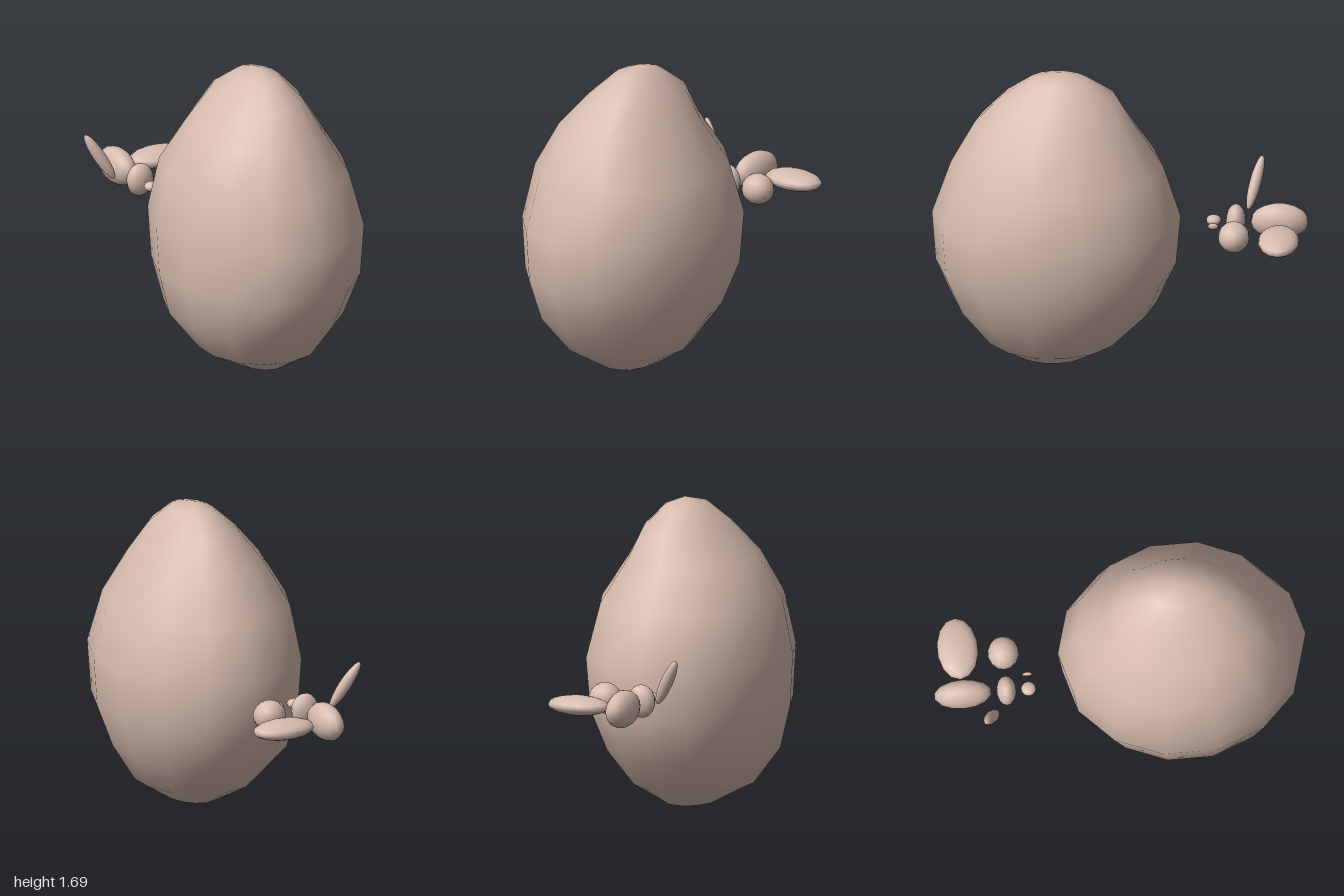
import * as THREE from 'three';

const clay = new THREE.MeshStandardMaterial({ color: 0xd6bbae });
clay.name = 'pinkish clay';

// Egg body: oval rings from bottom to top, closed by a pole at each end
function bodyGeometry() {
  const sides = 14;
  // [y, xMin, xMax, zMin, zMax]
  const rings = [
    [0.035, -0.13, 0.14, 0.18, 0.54],
    [0.14, -0.33, 0.31, 0.0, 0.72],
    [0.34, -0.48, 0.435, -0.2, 0.885],
    [0.57, -0.53, 0.52, -0.3, 0.98],
    [0.85, -0.545, 0.54, -0.325, 1.0],
    [1.14, -0.495, 0.47, -0.23, 0.9],
    [1.37, -0.36, 0.325, -0.08, 0.775],
    [1.54, -0.21, 0.23, 0.01, 0.63],
    [1.65, -0.09, 0.125, 0.17, 0.48],
  ];
  const pos = [], index = [];
  for (const [y, x0, x1, z0, z1] of rings) {
    for (let i = 0; i < sides; i++) {
      const a = (i / sides) * Math.PI * 2;
      pos.push((x0 + x1) / 2 + Math.sin(a) * (x1 - x0) / 2, y,
        (z0 + z1) / 2 + Math.cos(a) * (z1 - z0) / 2);
    }
  }
  const bottom = pos.length / 3, top = bottom + 1;
  pos.push(0.05, 0, 0.41, 0.02, 1.69, 0.31);
  const last = (rings.length - 1) * sides;
  for (let i = 0; i < sides; i++) {
    const j = (i + 1) % sides;
    index.push(bottom, j, i, top, last + i, last + j);
    for (let r = 0; r < last; r += sides) {
      index.push(r + i, r + j, r + sides + j, r + i, r + sides + j, r + sides + i);
    }
  }
  const g = new THREE.BufferGeometry();
  g.setAttribute('position', new THREE.Float32BufferAttribute(pos, 3));
  g.setIndex(index);
  g.computeVertexNormals();
  return g;
}

export function createModel() {
  const model = new THREE.Group();
  model.name = 'eggWithSmallCluster';

  const body = new THREE.Mesh(bodyGeometry(), clay);
  body.name = 'eggBody';
  model.add(body);

  // Small floating ellipsoids behind the egg
  const unit = new THREE.SphereGeometry(1, 14, 10);
  const blob = (name, center, radii) => {
    const m = new THREE.Mesh(unit, clay);
    m.name = name;
    m.position.set(...center);
    m.scale.set(...radii);
    model.add(m);
    return m;
  };
  blob('rearLobe', [-0.153, 0.76, -0.845], [0.075, 0.1, 0.155]);
  blob('sideLobe', [0.105, 0.76, -0.85], [0.175, 0.052, 0.11]);
  blob('ball', [0.06, 0.76, -0.61], [0.09, 0.083, 0.084]);
  blob('neckLobe', [-0.153, 0.76, -0.612], [0.078, 0.09, 0.053]);
  blob('smallBead', [-0.153, 0.76, -0.494], [0.04, 0.027, 0.04]);
  blob('tinyBead', [-0.07, 0.76, -0.494], [0.01, 0.018, 0.028]);

  // Slender leaning lobe
  const lean = blob('leaningLobe', [-0.345, 0.895, -0.708], [0.034, 0.15, 0.032]);
  lean.quaternion.setFromUnitVectors(new THREE.Vector3(0, 1, 0),
    new THREE.Vector3(-0.14, 0.25, -0.07).normalize());

  return model;
}
